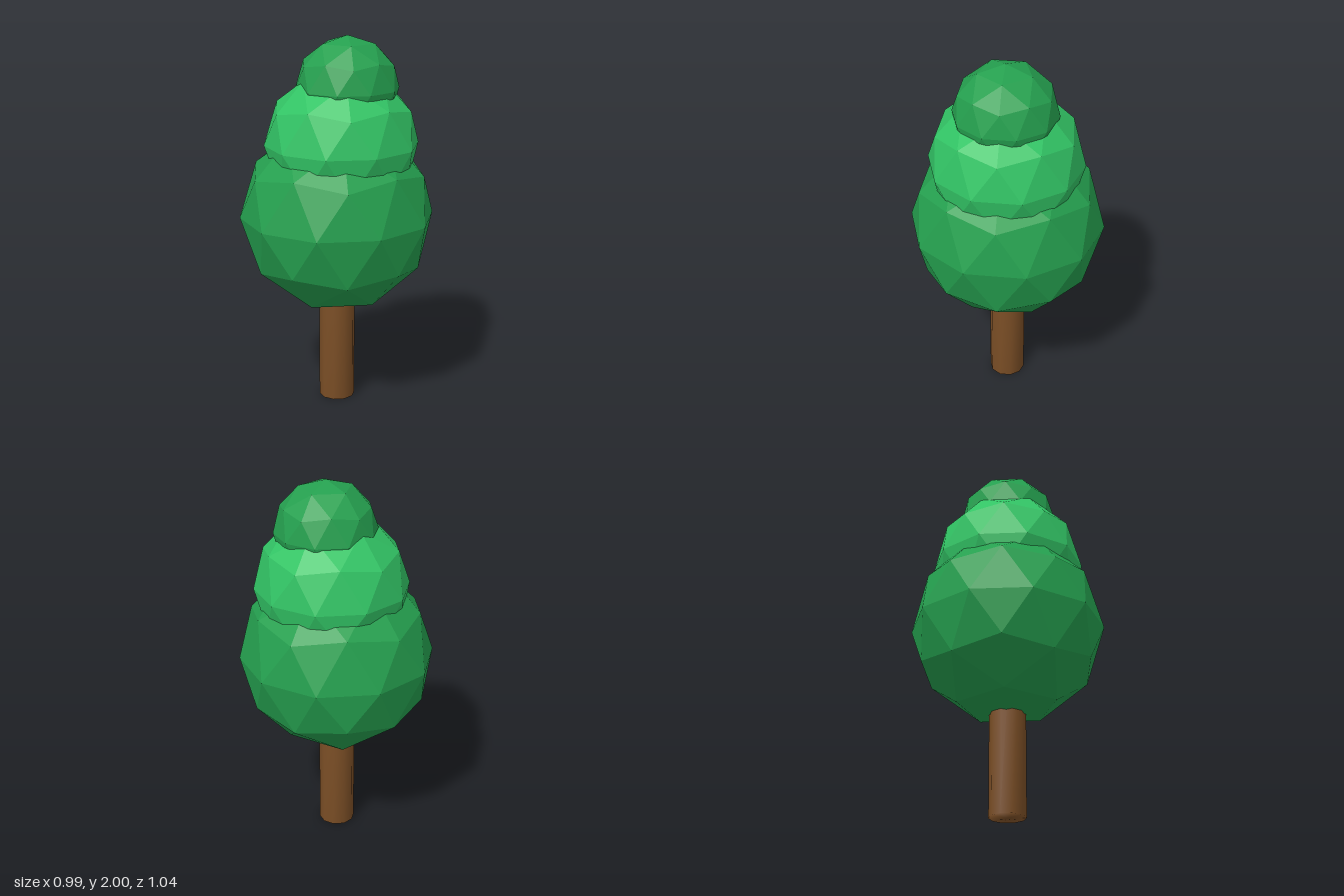
import * as THREE from 'three';
import { mergeVertices } from 'three/addons/utils/BufferGeometryUtils.js';

// Faceted ball standing on a vertex, with an upper-ring vertex towards +x
function facetedBall(radius) {
  const geometry = new THREE.IcosahedronGeometry(radius, 1);
  geometry.rotateX(-Math.atan((1 + Math.sqrt(5)) / 2));
  geometry.rotateY(Math.PI / 2);
  return geometry;
}

// Ten-sided post whose sides and caps share smooth normals
function smoothPost(radius, height) {
  const post = new THREE.CylinderGeometry(radius, radius, height, 10);
  post.deleteAttribute('normal');
  post.deleteAttribute('uv');
  const geometry = mergeVertices(post);
  geometry.computeVertexNormals();
  return geometry;
}

export function createModel() {
  const leafGreen = new THREE.MeshStandardMaterial({ name: 'leafGreen', color: 0x25a04f, flatShading: true });
  const lightGreen = new THREE.MeshStandardMaterial({ name: 'lightGreen', color: 0x32c465, flatShading: true });
  const barkBrown = new THREE.MeshStandardMaterial({ name: 'barkBrown', color: 0x7c4f26 });

  const tree = new THREE.Group();
  tree.name = 'tree';

  // Trunk, running up into the lowest ball of leaves
  const trunkHeight = 1.04;
  const trunk = new THREE.Mesh(smoothPost(0.097, trunkHeight), barkBrown);
  trunk.name = 'trunk';
  trunk.position.y = trunkHeight / 2;
  tree.add(trunk);

  // Three overlapping balls of leaves, leaning slightly towards +x
  const crown = [
    ['lowerFoliage', 0.52, 0, 1.04, leafGreen],
    ['middleFoliage', 0.41, 0.025, 1.43, lightGreen],
    ['topFoliage', 0.273, 0.055, 1.727, leafGreen],
  ];
  for (const [name, radius, x, y, material] of crown) {
    const ball = new THREE.Mesh(facetedBall(radius), material);
    ball.name = name;
    ball.position.set(x, y, 0);
    tree.add(ball);
  }

  return tree;
}
